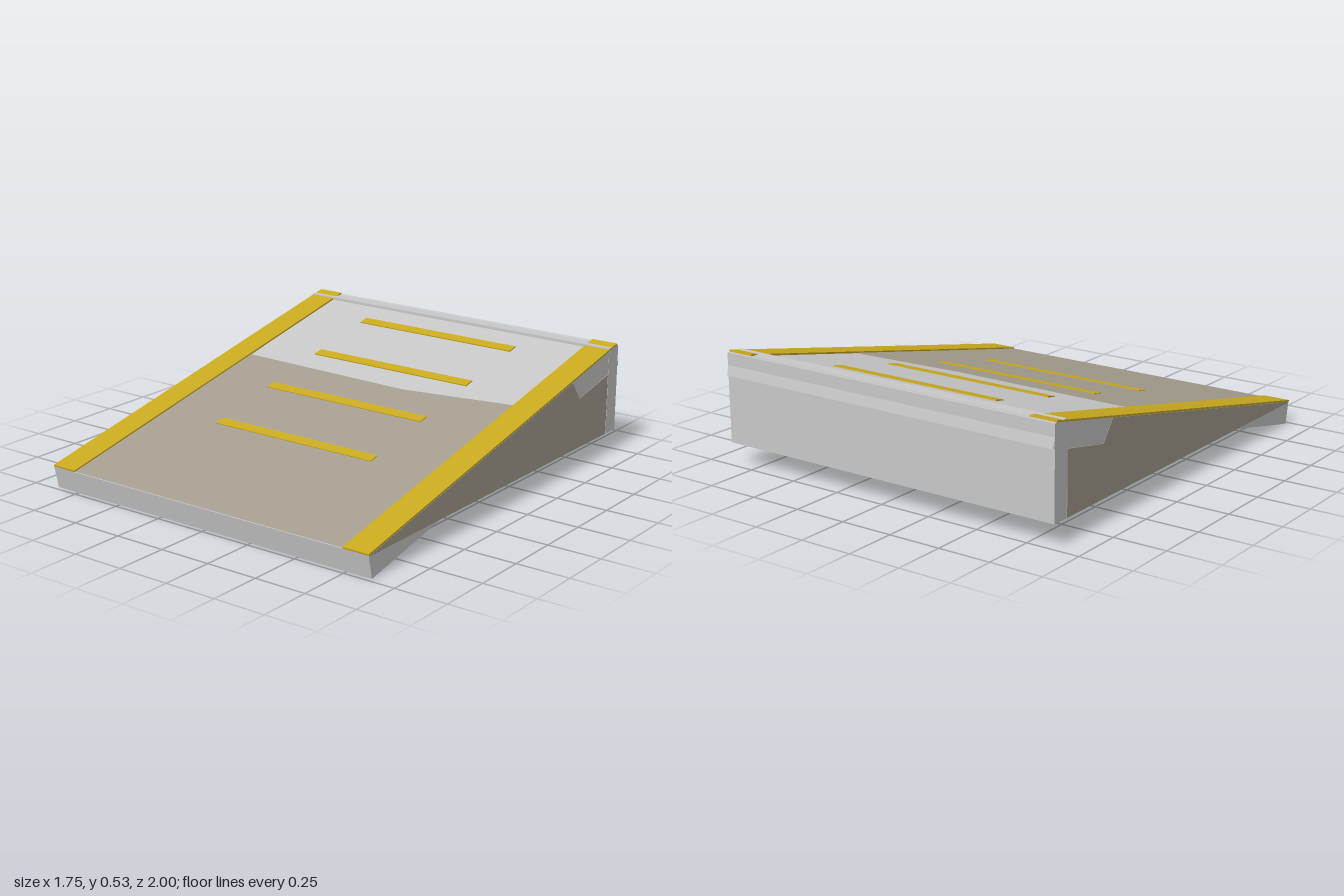
import * as THREE from 'three';

const HALF = 0.875;                       // half width of the ramp
const SLOPE = Math.atan2(0.417, 1.977);
const LENGTH = 2.02;                      // deck length along the slope
const along = z => (1 - z) / Math.cos(SLOPE); // world z -> distance up the slope

export function createModel() {
  const grey = new THREE.MeshStandardMaterial({ color: 0xc8c8c8 });
  grey.name = 'light grey';
  const tan = new THREE.MeshStandardMaterial({ color: 0xa59e90 });
  tan.name = 'tan';
  const yellow = new THREE.MeshStandardMaterial({ color: 0xcaaa20 });
  yellow.name = 'yellow';

  const model = new THREE.Group();
  model.name = 'ramp';
  const add = (parent, name, geometry, material) => {
    const mesh = new THREE.Mesh(geometry, material);
    mesh.name = name;
    parent.add(mesh);
    return mesh;
  };
  const box = (parent, name, material, w, h, d, x, y, z) =>
    add(parent, name, new THREE.BoxGeometry(w, h, d), material).position.set(x, y, z);

  // Sloping deck: local -z runs up the ramp, local y = 0 is its surface
  const deck = new THREE.Group();
  deck.name = 'deck';
  deck.position.set(0, 0.11, 1);
  deck.rotation.x = SLOPE;
  model.add(deck);
  box(deck, 'deckSlab', grey, HALF * 2, 0.108, LENGTH, 0, -0.054, -LENGTH / 2);

  // Tan lower part of the driving surface, with its uneven upper edge
  const surface = new THREE.Shape([
    [-HALF, 0.002], [HALF, 0.002], [HALF, along(-0.295)], [0.18, along(-0.215)], [-HALF, along(-0.238)],
  ].map(([x, s]) => new THREE.Vector2(x, s)));
  const surfaceGeometry = new THREE.ShapeGeometry(surface);
  surfaceGeometry.rotateX(-Math.PI / 2);
  surfaceGeometry.translate(0, 0.0015, 0);
  add(deck, 'lowerSurface', surfaceGeometry, tan);

  // Yellow edge strips
  for (const side of [-1, 1])
    box(deck, side > 0 ? 'leftEdgeStrip' : 'rightEdgeStrip', yellow,
      0.13, 0.008, LENGTH, side * 0.811, 0.004, -LENGTH / 2);

  // Yellow cross bars
  [-0.755, -0.38, -0.012, 0.365].forEach((z, i) =>
    box(deck, `crossBar${i + 1}`, yellow, 0.88, 0.005, 0.053, 0, 0.0025, -along(z)));

  // Tan wedge under the deck, profile in (-z, y)
  const wedge = new THREE.Shape([
    [-0.992, 0.107], [0.9, 0.107], [0.9, 0.398], [0.64, 0.346], [0.57, 0.44], [-0.992, 0.1105],
  ].map(([x, y]) => new THREE.Vector2(x, y)));
  const wedgeGeometry = new THREE.ExtrudeGeometry(wedge, { depth: HALF * 2 + 0.003, bevelEnabled: false });
  wedgeGeometry.translate(0, 0, -HALF - 0.0015);
  wedgeGeometry.rotateY(Math.PI / 2);
  add(model, 'wedgeBody', wedgeGeometry, tan);

  // Upright back wall with a flat top edge
  box(model, 'backWall', grey, HALF * 2 + 0.002, 0.418, 0.085, 0, 0.316, -0.9465);

  return model;
}
